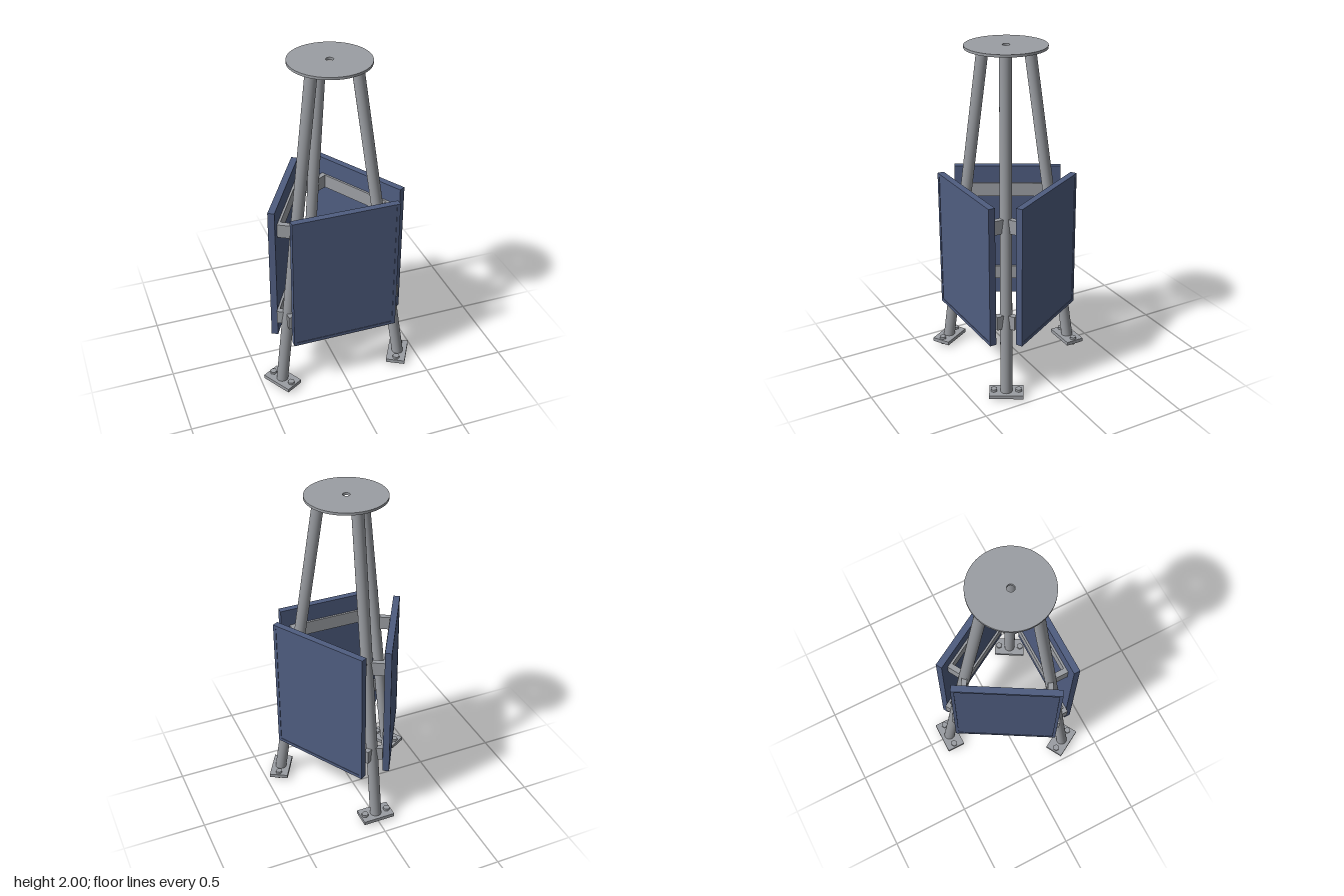
import * as THREE from 'three';

const steel = new THREE.MeshStandardMaterial({ color: 0x9b9ea3 });
steel.name = 'grey steel';
const blue = new THREE.MeshStandardMaterial({ color: 0x4f5d80 });
blue.name = 'blue panel';

const LEG_R = 0.035, LEG_BOTTOM = 0.04, LEG_TOP = 1.985;
const LEG_OUT_BOTTOM = 0.441, LEG_OUT_TOP = 0.15;
const PANEL_IN = 0.253, PANEL_OUT = 0.293, PANEL_HALF = 0.323;

// distance of a leg's centre line from the axis at height y
const legOut = (y) => THREE.MathUtils.mapLinear(y, LEG_BOTTOM, LEG_TOP, LEG_OUT_BOTTOM, LEG_OUT_TOP);

function add(parent, name, geometry, material, x = 0, y = 0, z = 0) {
  const mesh = new THREE.Mesh(geometry, material);
  mesh.name = name;
  mesh.position.set(x, y, z);
  parent.add(mesh);
  return mesh;
}

function rectPath(PathType, w, h) {
  return new PathType([[-w, -h], [w, -h], [w, h], [-w, h]].map(([x, y]) => new THREE.Vector2(x, y)));
}

// leaning leg with level ends, foot plate and two bolts; leans along +z
function makeLeg() {
  const leg = new THREE.Group();
  leg.name = 'leg';
  const h = LEG_TOP - LEG_BOTTOM;
  const tube = new THREE.CylinderGeometry(LEG_R, LEG_R, h, 32);
  tube.translate(0, LEG_BOTTOM + h / 2, 0);
  const p = tube.attributes.position;
  for (let i = 0; i < p.count; i++) p.setZ(i, p.getZ(i) + legOut(p.getY(i)));
  tube.computeBoundingSphere();
  add(leg, 'legTube', tube, steel);
  add(leg, 'footPlate', new THREE.BoxGeometry(0.2, 0.023, 0.116), steel, 0, 0.0285, 0.44);
  for (const s of [-1, 1]) {
    add(leg, 'boltHead', new THREE.CylinderGeometry(0.021, 0.021, 0.015, 6), steel, s * 0.073, 0.0475, 0.442);
    add(leg, 'boltShank', new THREE.CylinderGeometry(0.011, 0.011, 0.04, 20), steel, s * 0.073, 0.02, 0.442);
  }
  return leg;
}

// framed panel with two rails and the tabs that join them to the legs; faces +z
function makePanel() {
  const side = new THREE.Group();
  side.name = 'panelSide';
  const h = 0.43, rim = 0.02, recess = 0.003, midY = 0.76;
  const depth = PANEL_OUT - PANEL_IN;
  add(side, 'panelBoard', new THREE.BoxGeometry(2 * (PANEL_HALF - rim), 2 * (h - rim), depth - recess), blue,
    0, midY, PANEL_IN + (depth - recess) / 2);
  const frame = rectPath(THREE.Shape, PANEL_HALF, h);
  frame.holes.push(rectPath(THREE.Path, PANEL_HALF - rim, h - rim));
  add(side, 'panelFrame', new THREE.ExtrudeGeometry(frame, { depth, bevelEnabled: false }), blue, 0, midY, PANEL_IN);

  for (const y of [0.475, 1.04]) {
    const legX = legOut(y) * Math.sin(Math.PI / 3);
    const legZ = legOut(y) * Math.cos(Math.PI / 3);
    const railBack = PANEL_IN - 0.013;
    add(side, 'rail', new THREE.BoxGeometry(2 * legX + 0.032, 0.085, 0.013), steel, 0, y, PANEL_IN - 0.0065);
    for (const s of [-1, 1]) {
      add(side, 'railTab', new THREE.BoxGeometry(0.032, 0.085, railBack - legZ), steel,
        s * legX, y, (railBack + legZ) / 2);
    }
  }
  return side;
}

export function createModel() {
  const model = new THREE.Group();
  model.name = 'tripodStand';
  const body = new THREE.Group();
  body.name = 'body';
  body.position.z = 0.081;
  model.add(body);

  // round top plate with a centre hole
  const disc = new THREE.Shape().absarc(0, 0, 0.236, 0, Math.PI * 2, false);
  disc.holes.push(new THREE.Path().absarc(0, 0, 0.022, 0, Math.PI * 2, true));
  const discGeometry = new THREE.ExtrudeGeometry(disc, { depth: 0.015, bevelEnabled: false, curveSegments: 64 });
  discGeometry.rotateX(-Math.PI / 2);
  add(body, 'topPlate', discGeometry, steel, 0, 1.985, 0);

  // three legs with a panel between each pair
  for (let i = 0; i < 3; i++) {
    const turn = (i * Math.PI * 2) / 3;
    const leg = makeLeg();
    leg.rotation.y = turn + Math.PI;
    const panel = makePanel();
    panel.rotation.y = turn;
    body.add(leg, panel);
  }
  return model;
}
